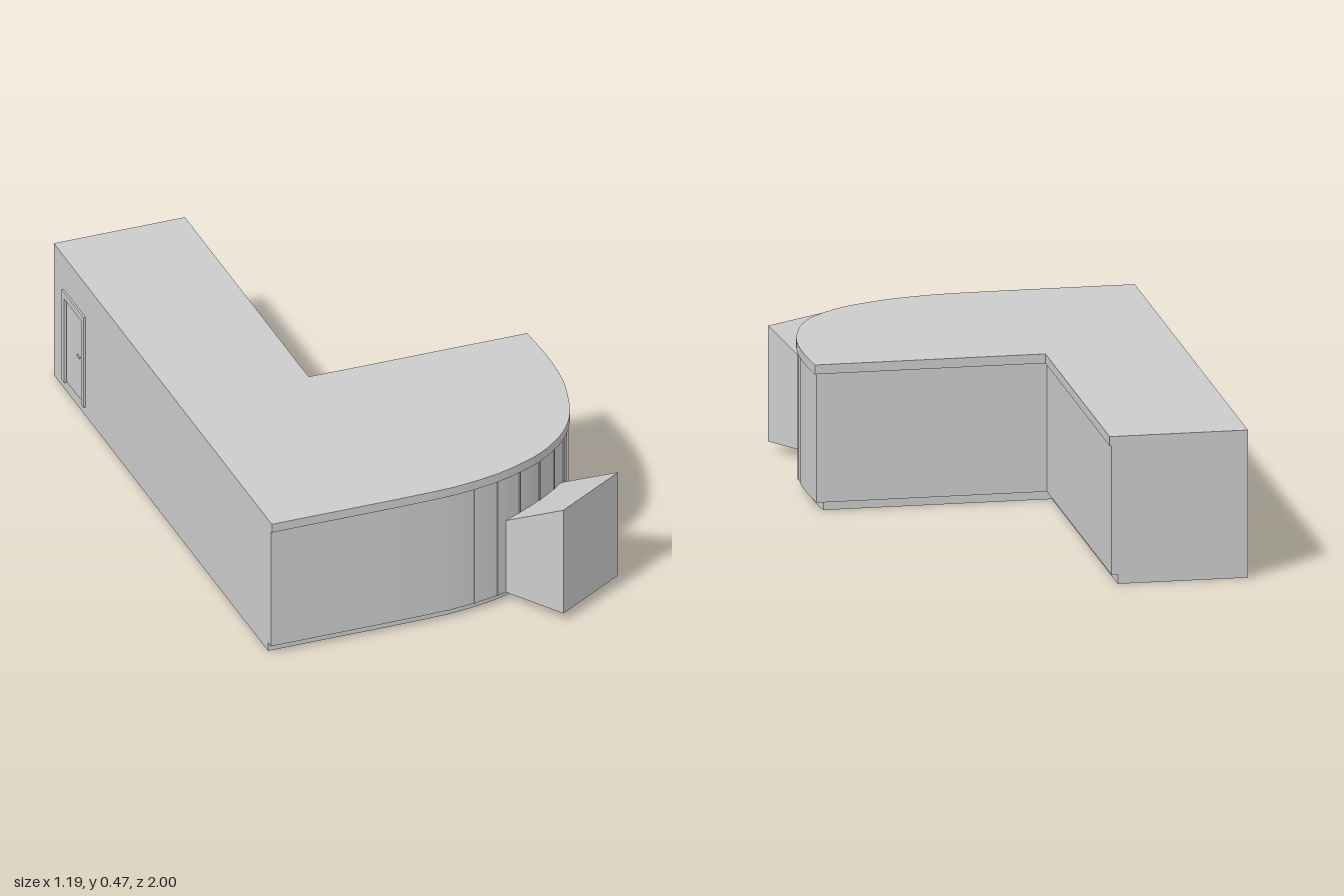
import * as THREE from 'three';

const material = new THREE.MeshStandardMaterial({ color: 0xcccccc, flatShading: true, side: THREE.DoubleSide });

// Curved facade in plan, as [x, z], from the rear corner round to the straight front
const facade = new THREE.CatmullRomCurve3([
  [0.576, 0.06], [0.583, 0.2], [0.575, 0.36], [0.55, 0.47], [0.522, 0.555], [0.476, 0.635],
  [0.42, 0.695], [0.35, 0.748], [0.27, 0.787], [0.185, 0.817], [0.1, 0.835], [0.01, 0.846], [-0.18, 0.85],
].map(([x, z]) => new THREE.Vector3(x, 0, z)));

// Point on the facade moved outwards by d
function facadePoint(t, d) {
  const p = facade.getPoint(t), n = facade.getTangent(t);
  return new THREE.Vector3(p.x + n.z * d, 0, p.z - n.x * d);
}

function add(group, name, geometry) {
  const mesh = new THREE.Mesh(geometry, material);
  mesh.name = name;
  group.add(mesh);
  return mesh;
}

function box(group, name, size, position) {
  const mesh = add(group, name, new THREE.BoxGeometry(...size));
  mesh.position.set(...position);
  return mesh;
}

// One storey layer: L-shaped plan with the curve offset by `out`, inner walls by `inner`
function layer(group, name, y0, y1, out, inner) {
  const back = 0.06 - inner;
  const points = [[-0.588, -1], [-0.155 + inner, -1], [-0.155 + inner, back]];
  for (let i = 0; i <= 36; i++) {
    const p = facadePoint(i / 36, out);
    points.push([p.x, i === 0 ? back : p.z]);
  }
  points.push([-0.588, 0.85 + out]);
  const shape = new THREE.Shape(points.map(([x, z]) => new THREE.Vector2(x, -z)));
  const geometry = new THREE.ExtrudeGeometry(shape, { depth: y1 - y0, bevelEnabled: false });
  geometry.rotateX(-Math.PI / 2).translate(0, y0, 0);
  add(group, name, geometry);
}

export function createModel() {
  const model = new THREE.Group();
  model.name = 'building';

  layer(model, 'plinth', 0, 0.03, -0.025, -0.02);
  layer(model, 'walls', 0.03, 0.445, 0, 0);
  layer(model, 'roof', 0.445, 0.475, 0.007, 0.006);

  // Thin mullions at the joints of the curved facade
  const mullions = new THREE.Group();
  mullions.name = 'mullions';
  model.add(mullions);
  for (let i = 2; i <= 11; i++) {
    const p = facadePoint(i / 12, 0), n = facade.getTangent(i / 12);
    const mullion = box(mullions, 'mullion', [0.005, 0.415, 0.006], [p.x, 0.2375, p.z]);
    mullion.rotation.y = Math.atan2(n.z, -n.x);
  }

  // Entrance porch: wedge profile whose top falls back towards the facade
  const profile = new THREE.Shape([[-0.03, 0.03], [0.214, 0.03], [0.214, 0.403], [0, 0.293], [-0.03, 0.278]]
    .map(([x, y]) => new THREE.Vector2(x, y)));
  const porchGeometry = new THREE.ExtrudeGeometry(profile, { depth: 0.29, bevelEnabled: false });
  porchGeometry.translate(0, 0, -0.145).rotateY(-Math.PI / 2);
  const porch = add(model, 'entrancePorch', porchGeometry);
  porch.position.set(0.342, 0, 0.737);
  porch.rotation.y = 0.565;

  // Side door with frame and handle
  const door = new THREE.Group();
  door.name = 'sideDoor';
  model.add(door);
  box(door, 'doorLeaf', [0.006, 0.29, 0.125], [-0.588, 0.185, -0.8225]);
  for (const z of [-0.904, -0.741]) box(door, 'doorJamb', [0.014, 0.325, 0.022], [-0.588, 0.1925, z]);
  box(door, 'doorLintel', [0.014, 0.022, 0.185], [-0.588, 0.344, -0.8225]);
  box(door, 'doorHandle', [0.012, 0.006, 0.02], [-0.59, 0.19, -0.775]);

  return model;
}
